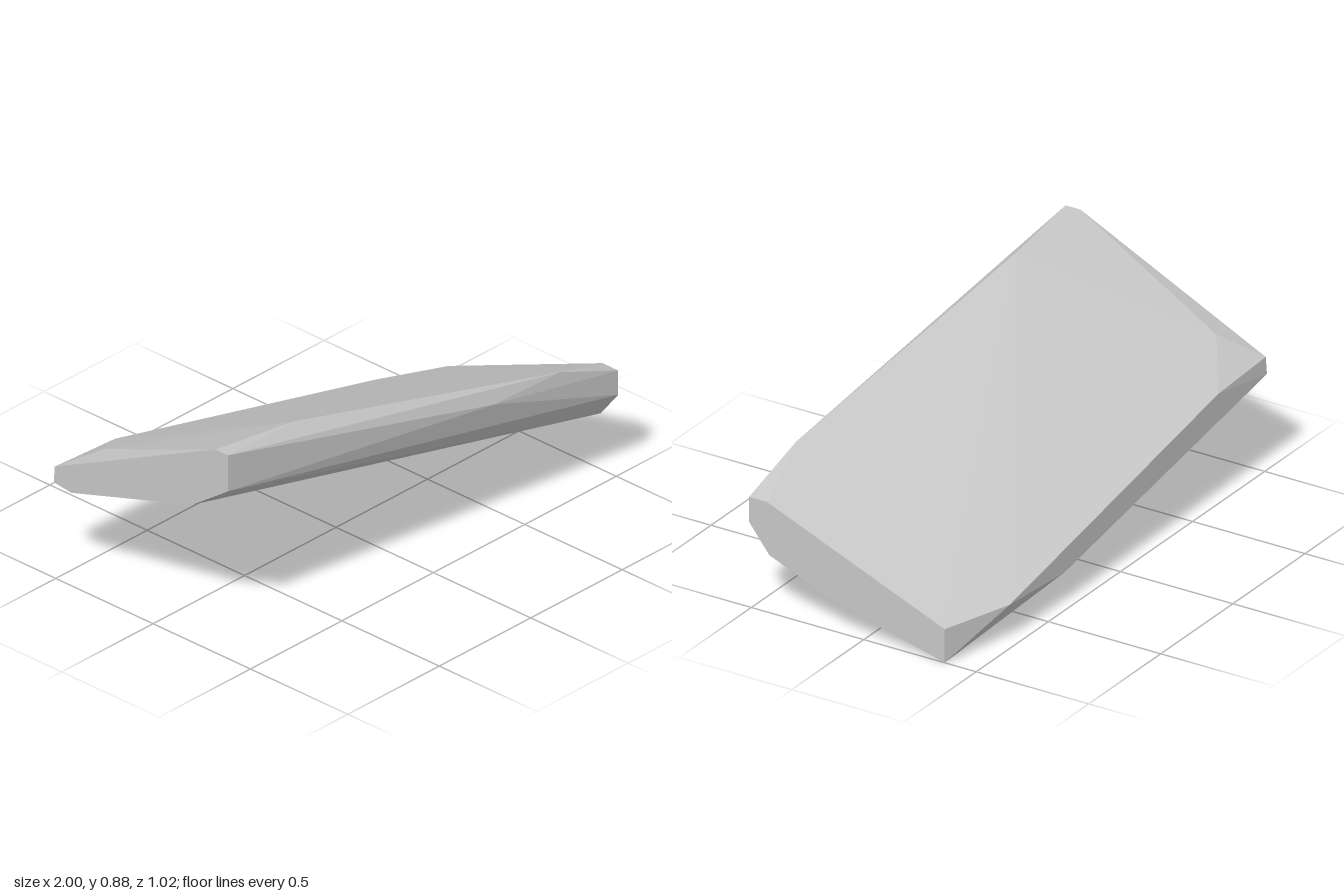
import * as THREE from 'three';
import { ConvexGeometry } from 'three/addons/geometries/ConvexGeometry.js';

export function createModel() {
  const group = new THREE.Group();
  group.name = 'stone';
  const greyStone = new THREE.MeshStandardMaterial({ color: 0xc6c6c6 });
  greyStone.name = 'greyStone';

  // Flat cut at the low left end, as [z, y] outline at x = 1
  const leftEnd = [
    [0.51, 0.355], [0.51, 0.46], [0.43, 0.46], [-0.36, 0.14],
    [-0.36, 0], [0.12, 0.12], [0.42, 0.24],
  ];
  // Flat cut at the high right end, as [z, y] outline at x = -1
  const rightEnd = [
    [0.385, 0.72], [0.385, 0.875], [0.32, 0.875], [-0.505, 0.48],
    [-0.51, 0.41], [-0.42, 0.4], [0.2, 0.59],
  ];
  // Chipped corners between the two ends, as [x, y, z]
  const chips = [
    [-0.61, 0.848, 0.355], [0.34, 0.58, 0.493], [0.7, 0.57, 0.493], // front top edge
    [0.72, 0.155, -0.47], [-0.67, 0.463, -0.505], [-0.9, 0.574, -0.35], // back top edge
    [0.35, 0.138, -0.477], // back bottom edge
  ];

  const points = [
    ...leftEnd.map(([z, y]) => new THREE.Vector3(1, y, z)),
    ...rightEnd.map(([z, y]) => new THREE.Vector3(-1, y, z)),
    ...chips.map((p) => new THREE.Vector3(...p)),
  ];

  // Faceted slab with flat face normals
  const slab = new THREE.Mesh(new ConvexGeometry(points), greyStone);
  slab.name = 'stoneSlab';
  group.add(slab);
  return group;
}
